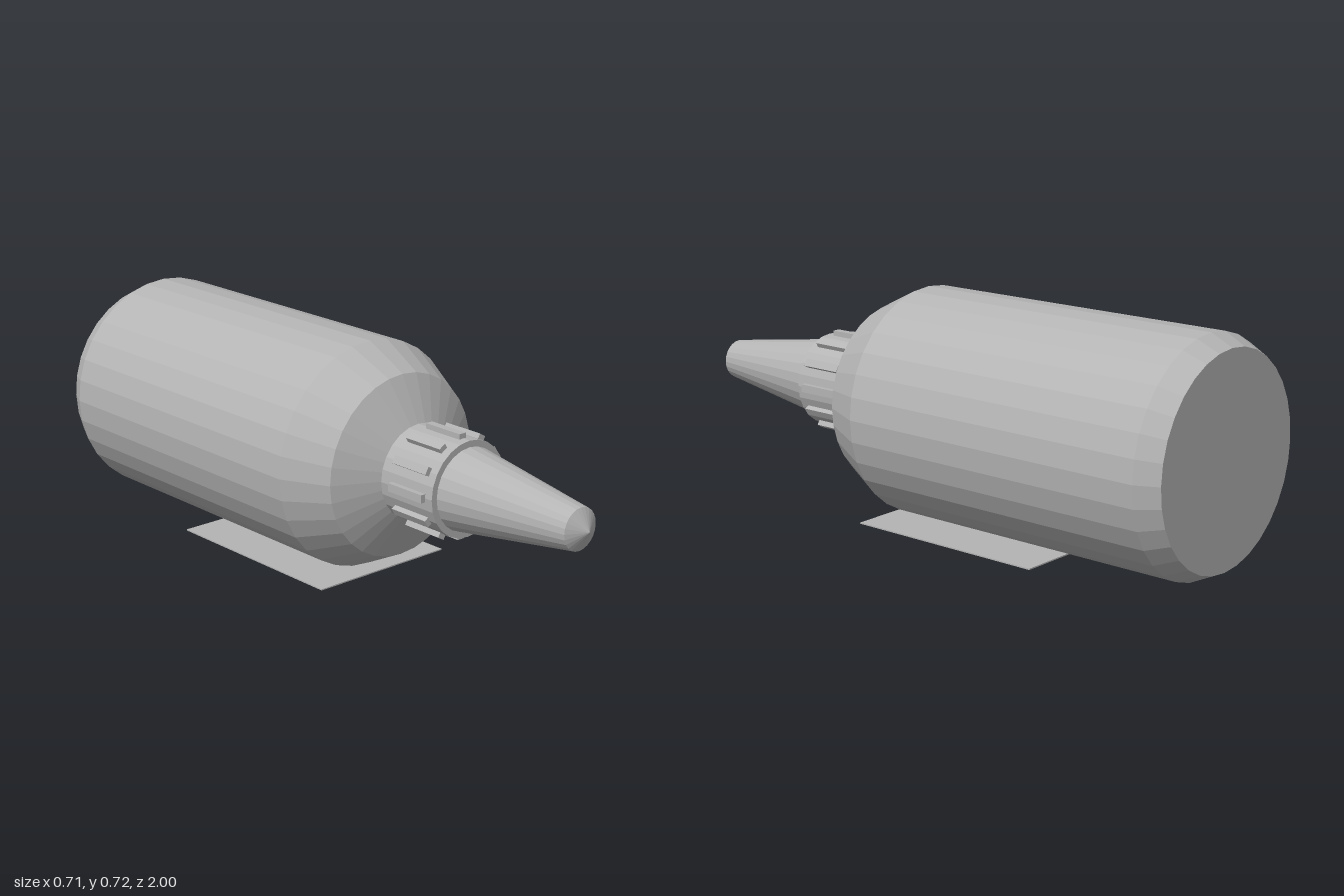
import * as THREE from 'three';

const AXIS_Y = 0.362;

export function createModel() {
  const model = new THREE.Group();
  const grey = new THREE.MeshStandardMaterial({ color: 0xb4b4b4 });
  grey.name = 'grey plastic';
  grey.flatShading = true;

  const add = (parent, name, geometry) => {
    const mesh = new THREE.Mesh(geometry, grey);
    mesh.name = name;
    parent.add(mesh);
    return mesh;
  };

  // Turned parts share one axis running back to front; profile points are [radius, z]
  const bottle = new THREE.Group();
  bottle.name = 'bottle';
  bottle.position.y = AXIS_Y;
  model.add(bottle);
  const turned = (name, profile, sides) => {
    const points = profile.map(([r, z]) => new THREE.Vector2(r, z));
    return add(bottle, name, new THREE.LatheGeometry(points, sides).rotateX(Math.PI / 2));
  };

  // Body with bevelled back edge and sloping shoulder
  turned('body', [
    [0, -1], [0.323, -1], [0.357, -0.93], [0.357, 0.105],
    [0.285, 0.25], [0.14, 0.322], [0, 0.322],
  ], 32);

  // Screw collar
  turned('collar', [[0, 0.32], [0.148, 0.32], [0.148, 0.533], [0, 0.533]], 24);

  // Tapered nozzle with pointed tip
  turned('nozzle', [[0, 0.52], [0.13, 0.52], [0.128, 0.533], [0.064, 0.965], [0, 1]], 24);

  // Grip ribs around the collar
  const ribs = new THREE.Group();
  ribs.name = 'gripRibs';
  bottle.add(ribs);
  for (let i = 0; i < 12; i++) {
    const angle = (i / 12) * Math.PI * 2;
    const rib = add(ribs, 'gripRib', new THREE.BoxGeometry(0.03, 0.025, 0.14));
    rib.position.set(Math.cos(angle) * 0.148, Math.sin(angle) * 0.148, 0.435);
    rib.rotation.z = angle;
  }

  // Thin plate beneath the body
  const plate = add(model, 'basePlate', new THREE.BoxGeometry(0.5, 0.004, 0.67));
  plate.position.set(0, 0.002, -0.165);

  return model;
}
